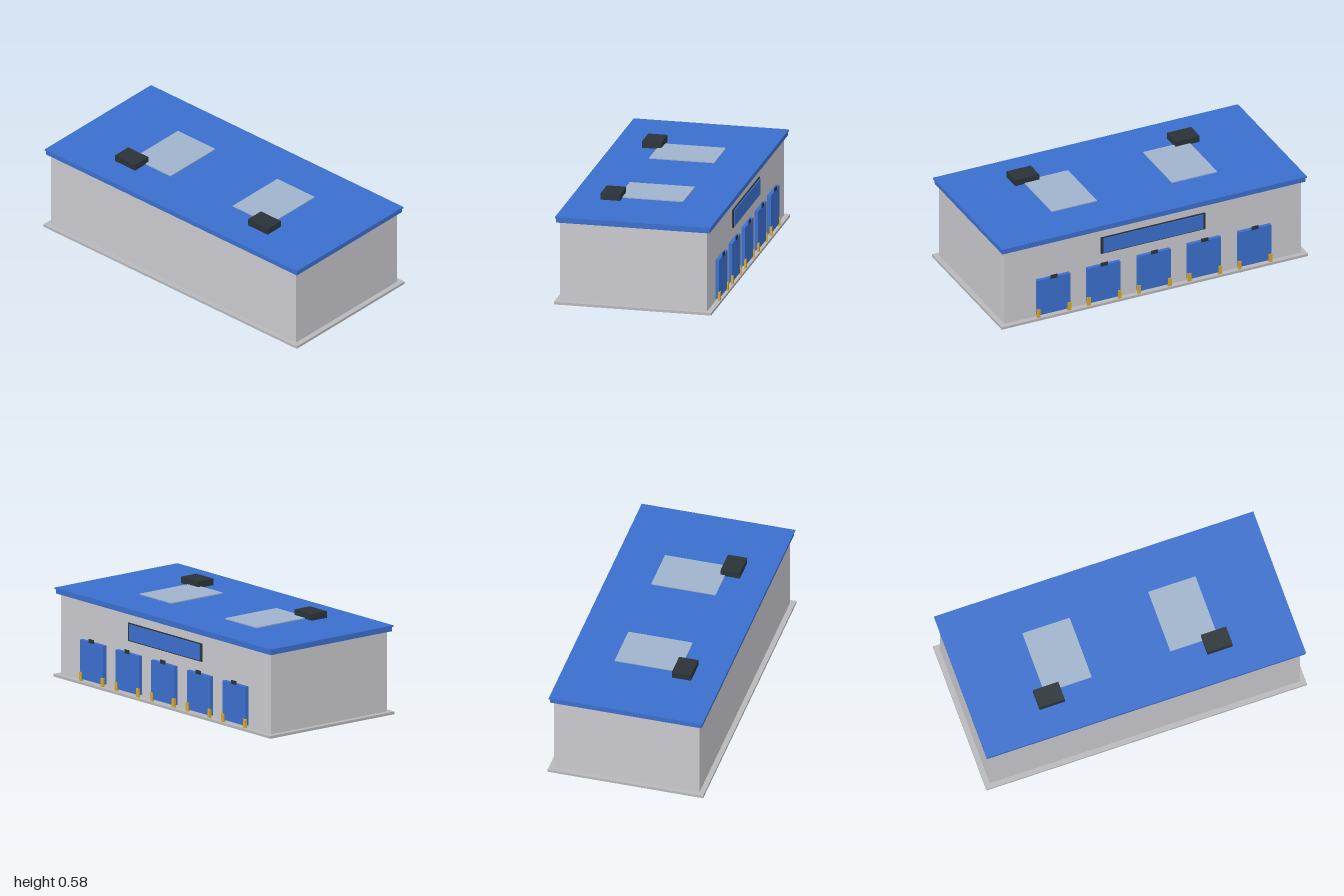
import * as THREE from 'three';

const mat = (name, color) => new THREE.MeshStandardMaterial({ name, color });

export function createModel() {
  const model = new THREE.Group();
  model.name = 'warehouse';
  const wall = mat('wall grey', 0xc9c9ce);
  const concrete = mat('concrete', 0xb8b8bb);
  const blue = mat('blue', 0x3b6fcd);
  const glass = mat('skylight glass', 0xa0b3cb);
  const dark = mat('dark grey', 0x2b3338);
  const yellow = mat('safety yellow', 0xd9a92b);

  // Box given by its extents along each axis
  function box(parent, name, material, [x0, x1], [y0, y1], [z0, z1]) {
    const mesh = new THREE.Mesh(new THREE.BoxGeometry(x1 - x0, y1 - y0, z1 - z0), material);
    mesh.position.set((x0 + x1) / 2, (y0 + y1) / 2, (z0 + z1) / 2);
    mesh.name = name;
    parent.add(mesh);
  }

  // Main shell
  box(model, 'foundation', concrete, [-1, 1], [0, 0.016], [-0.476, 0.476]);
  box(model, 'walls', wall, [-0.968, 0.968], [0.016, 0.503], [-0.445, 0.445]);
  box(model, 'roofFascia', blue, [-0.99, 0.99], [0.503, 0.53], [-0.464, 0.464]);
  box(model, 'roofCap', blue, [-0.996, 0.996], [0.53, 0.539], [-0.47, 0.47]);

  // Skylights and rooftop units, mirrored left and right
  for (const s of [-1, 1]) {
    const span = (a, b) => (s > 0 ? [a, b] : [-b, -a]);
    box(model, 'skylight', glass, span(0.245, 0.54), [0.539, 0.545], [-0.197, 0.197]);
    box(model, 'rooftopUnit', dark, span(0.445, 0.602), [0.539, 0.579], [0.171, 0.288]);
  }

  // Sign board above the docks
  box(model, 'signFrame', dark, [-0.34, 0.34], [0.337, 0.447], [-0.452, -0.445]);
  box(model, 'signPanel', blue, [-0.325, 0.325], [0.344, 0.441], [-0.458, -0.452]);

  // Row of loading docks along the back
  for (let i = -2; i <= 2; i++) {
    const dock = new THREE.Group();
    dock.name = 'loadingDock';
    dock.position.x = i * 0.328;
    box(dock, 'dockDoor', blue, [-0.107, 0.107], [0.032, 0.268], [-0.468, -0.445]);
    box(dock, 'dockLamp', dark, [-0.022, 0.022], [0.264, 0.287], [-0.472, -0.467]);
    for (const s of [-1, 1]) {
      box(dock, 'dockBumper', yellow, [s * 0.1 - 0.011, s * 0.1 + 0.011], [0.02, 0.073], [-0.474, -0.461]);
    }
    model.add(dock);
  }
  return model;
}
